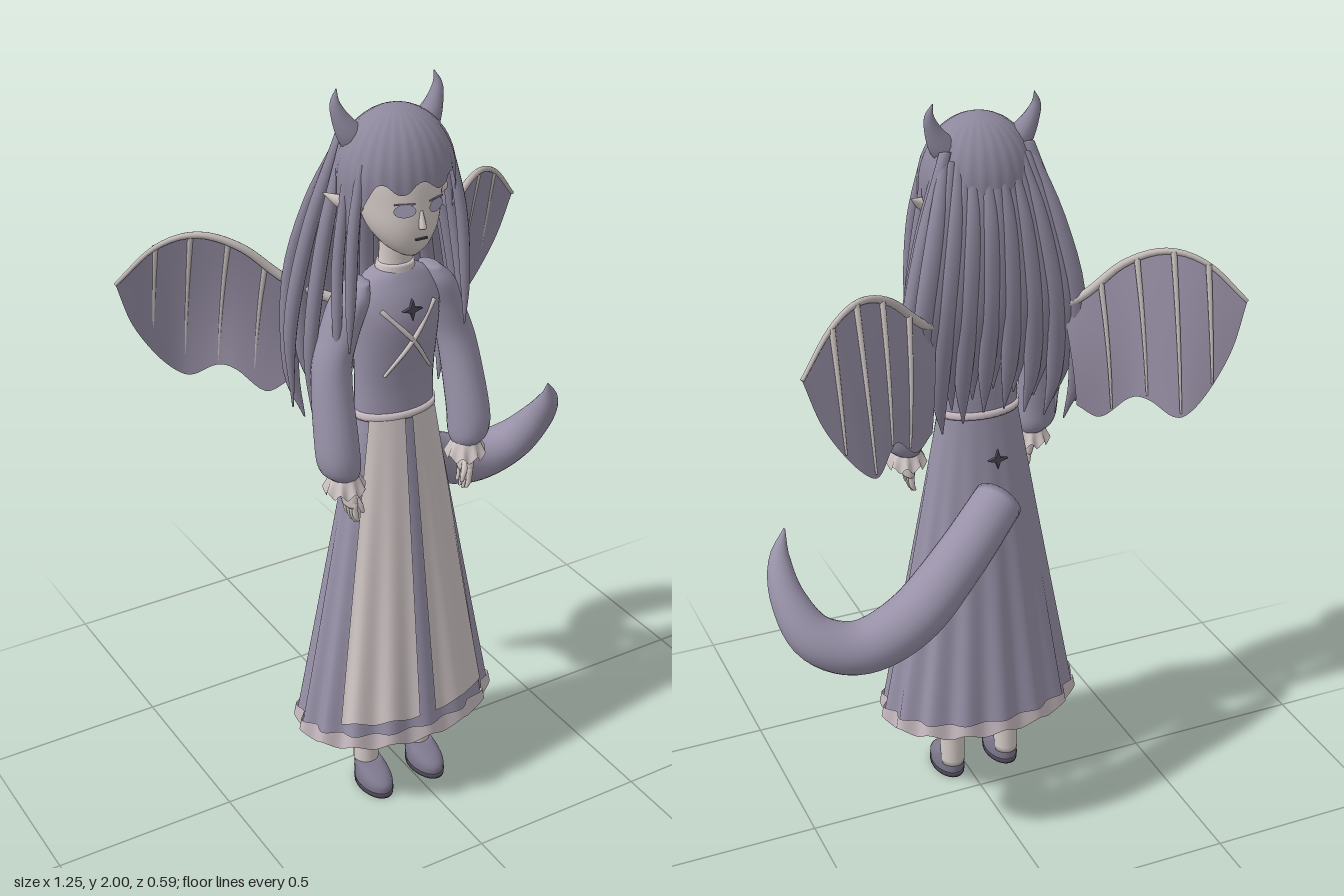
import * as THREE from 'three';
import { mergeVertices } from 'three/addons/utils/BufferGeometryUtils.js';

const mat = (name, color, side = THREE.FrontSide) => {
  const m = new THREE.MeshStandardMaterial({ color, side });
  m.name = name;
  return m;
};
const V = (p) => new THREE.Vector3(p[0], p[1], p[2]);
const curve = (pts) => new THREE.CatmullRomCurve3(pts.map(V), false, 'catmullrom', 0.5);

// Smooth surface from point(u, v); faces look along du x dv
function grid(point, nu, nv) {
  const pos = [], index = [];
  for (let j = 0; j <= nv; j++) for (let i = 0; i <= nu; i++) pos.push(...point(i / nu, j / nv));
  for (let j = 0; j < nv; j++) for (let i = 0; i < nu; i++) {
    const a = j * (nu + 1) + i, c = a + nu + 1;
    index.push(a, a + 1, c, a + 1, c + 1, c);
  }
  let g = new THREE.BufferGeometry();
  g.setAttribute('position', new THREE.Float32BufferAttribute(pos, 3));
  g.setIndex(index);
  g = mergeVertices(g, 1e-5);
  g.computeVertexNormals();
  return g;
}

// Row parameter with one extra collapsed row at each end as a cap
const capRow = (v, n) => {
  const k = Math.round(v * (n + 2));
  return [Math.min(Math.max((k - 1) / n, 0), 1), k === 0 || k === n + 2 ? 0 : 1];
};

// Horizontal elliptical rings [x, y, z, rx, rz], listed from bottom to top
function stack(rings, sides = 24, n = 20) {
  const mid = curve(rings), rad = curve(rings.map((r) => [r[3], r[4], 0]));
  return grid((u, v) => {
    const [t, k] = capRow(v, n), c = mid.getPoint(t), r = rad.getPoint(t), a = u * Math.PI * 2;
    return [c.x + k * Math.max(r.x, 0) * Math.sin(a), c.y, c.z + k * Math.max(r.y, 0) * Math.cos(a)];
  }, sides, n + 2);
}

// Round tapering sweep through points [x, y, z, radius]
function sweep(pts, sides = 10, n = 20) {
  const path = curve(pts), rad = curve(pts.map((p) => [p[3], 0, 0])), f = path.computeFrenetFrames(n);
  return grid((u, v) => {
    const [w, k] = capRow(v, n), i = Math.round(w * n), t = path.getUtoTmapping(w), a = u * Math.PI * 2;
    const r = k * Math.max(rad.getPoint(t).x, 0);
    return path.getPoint(t).addScaledVector(f.normals[i], r * Math.cos(a))
      .addScaledVector(f.binormals[i], r * Math.sin(a)).toArray();
  }, sides, n + 2);
}

export function createModel() {
  const D = THREE.DoubleSide;
  const M = {
    hair: mat('hair purple', 0x8d879c, D), dress: mat('dress purple', 0x9891a8, D),
    cream: mat('cream cloth', 0xd0c5c5, D), skin: mat('skin', 0xd6ccc8), trim: mat('pink trim', 0xc9bcc2, D),
    wing: mat('wing membrane', 0x978fa5, D), bone: mat('wing bone', 0xc4bcba),
    shoe: mat('shoe', 0x7f798e), dark: mat('dark detail', 0x4b4655), eye: mat('eye lilac', 0xaaa5bd, D),
  };
  const model = new THREE.Group(), body = new THREE.Group();
  body.name = 'figure';
  body.position.x = -0.035;
  model.add(body);
  const add = (name, geo, m, parent = body) => {
    const o = new THREE.Mesh(geo, m);
    o.name = name;
    parent.add(o);
    return o;
  };

  // Head, neck and torso
  add('head', stack([[0, 1.6, 0.165, 0.022, 0.025], [0, 1.625, 0.15, 0.057, 0.06], [0, 1.67, 0.132, 0.087, 0.09],
    [0, 1.73, 0.118, 0.102, 0.105], [0, 1.82, 0.105, 0.11, 0.11], [0, 1.9, 0.1, 0.07, 0.07]], 32), M.skin);
  add('neck', stack([[0, 1.5, 0.1, 0.05, 0.042], [0, 1.57, 0.105, 0.043, 0.036], [0, 1.66, 0.11, 0.043, 0.036]]), M.skin);
  add('collar', stack([[0, 1.535, 0.102, 0.053, 0.045], [0, 1.56, 0.104, 0.048, 0.041]], 24, 4), M.cream);
  add('bodice', stack([[0, 1.15, 0.1, 0.11, 0.068], [0, 1.25, 0.1, 0.108, 0.07], [0, 1.4, 0.108, 0.116, 0.08],
    [0, 1.47, 0.105, 0.117, 0.072], [0, 1.52, 0.1, 0.09, 0.056], [0, 1.545, 0.1, 0.05, 0.043]], 32), M.dress);
  add('belt', stack([[0, 1.152, 0.1, 0.115, 0.073], [0, 1.172, 0.1, 0.114, 0.072]], 32, 2), M.trim);

  // Pleated skirt in angular panels, with a wavy frill at the hem
  const skirtPoint = (a, y, out = 0) => {
    const v = (1.165 - y) / 0.915, k = 1 + 0.04 * v * Math.cos(16 * a);
    return [((0.108 + 0.165 * v) * k + out) * Math.sin(a), y, 0.1 + ((0.067 + 0.115 * v) * k + out) * Math.cos(a)];
  };
  const panel = (a0, a1, y0, y1, out, wave) => grid((u, v) => {
    const a = a0 + (a1 - a0) * u, low = y0 + wave * Math.cos(16 * a);
    return skirtPoint(a, low + (y1 - low) * v, out);
  }, Math.ceil((a1 - a0) * 30), 20);
  add('skirt', panel(-Math.PI, Math.PI, 0.25, 1.165, 0, 0.008), M.dress);
  add('hemFrill', panel(-Math.PI, Math.PI, 0.235, 0.275, 0.007, 0.01), M.trim);
  for (const s of [-1, 1]) {
    add('skirtFrontPanel', panel(s > 0 ? 0.09 : -1.0, s > 0 ? 1.0 : -0.09, 0.305, 1.155, 0.005, 0.008), M.cream);
  }

  // Chest lacing and star ornaments
  for (const s of [-1, 1]) {
    add('chestTie', sweep([[s * 0.075, 1.46, 0.166, 0.006], [0, 1.375, 0.191, 0.006], [-s * 0.066, 1.28, 0.163, 0.004]], 8, 12), M.cream);
  }
  const star = new THREE.Shape();
  for (let i = 0; i < 8; i++) {
    const r = i % 2 ? 0.009 : 0.028, a = i * Math.PI / 4;
    star[i ? 'lineTo' : 'moveTo'](r * Math.sin(a), r * Math.cos(a));
  }
  const starGeo = new THREE.ExtrudeGeometry(star, { depth: 0.009, bevelEnabled: false });
  add('starBrooch', starGeo, M.dark).position.set(0, 1.455, 0.181);
  const rearStar = add('rearStar', starGeo, M.dark);
  rearStar.position.set(-0.02, 1.035, 0.017);
  rearStar.rotation.y = Math.PI;

  // Hair cap with scalloped fringe
  add('hairCap', grid((u, v) => {
    const a = (u * 2 - 1) * Math.PI, f = THREE.MathUtils.smoothstep(Math.abs(a), 0.75, 1.5);
    const edge = (1.785 + 0.014 * Math.cos(9 * a)) * (1 - f) + 1.66 * f;
    const y = edge + (1.95 - edge) * Math.sin(v * Math.PI / 2), h = Math.max(0, (y - 1.78) / 0.17);
    const r = Math.sqrt(Math.max(0, 1 - h * h)) * (1 + 0.012 * Math.cos(26 * a));
    return [0.15 * r * Math.sin(a), y, 0.103 + 0.127 * r * Math.cos(a)];
  }, 104, 24), M.hair);

  // Long back hair
  for (let i = 0; i < 15; i++) {
    const s = (i - 7) / 7, e = Math.abs(s), end = 1.2 - 0.07 * e + (i % 2 ? 0.05 : 0), z = i % 2 ? 0.006 : 0;
    add('backHairStrand', stack([[s * 0.2, end, -0.005 + z, 0.002, 0.002], [s * 0.222, end + 0.13, -0.03 + z, 0.022, 0.013],
      [s * 0.205, 1.5, -0.048 + z, 0.026, 0.017], [s * 0.16, 1.7, -0.038 + z + 0.02 * e, 0.024, 0.017],
      [s * 0.115, 1.86, 0.005 + 0.03 * e, 0.012, 0.01]], 10, 16), M.hair);
  }

  // Parts that come in left and right pairs
  for (const s of [-1, 1]) {
    // Locks beside the face and over the shoulders
    const locks = [
      [[0.165, 1.37, 0.165, 0.002], [0.162, 1.5, 0.168, 0.013], [0.15, 1.68, 0.162, 0.015], [0.12, 1.84, 0.15, 0.01]],
      [[0.2, 1.12, 0.05, 0.002], [0.215, 1.35, 0.06, 0.017], [0.175, 1.62, 0.06, 0.02], [0.11, 1.87, 0.06, 0.015]],
      [[0.235, 1.17, 0.0, 0.002], [0.235, 1.4, 0.0, 0.018], [0.185, 1.65, 0.015, 0.02], [0.11, 1.88, 0.04, 0.015]],
      [[0.17, 1.25, 0.12, 0.002], [0.178, 1.42, 0.13, 0.012], [0.165, 1.6, 0.115, 0.015], [0.13, 1.83, 0.11, 0.012]],
    ];
    for (const l of locks) add('sideLock', stack(l.map(([x, y, z, r]) => [s * x, y, z, r, r]), 10, 16), M.hair);

    // Horns and pointed ears
    add('horn', sweep([[s * 0.08, 1.855, 0.078, 0.037], [s * 0.108, 1.89, 0.075, 0.032], [s * 0.13, 1.93, 0.07, 0.021],
      [s * 0.14, 1.965, 0.065, 0.012], [s * 0.133, 1.997, 0.06, 0.001]], 14), M.hair);
    add('ear', sweep([[s * 0.1, 1.715, 0.11, 0.02], [s * 0.145, 1.735, 0.1, 0.017], [s * 0.185, 1.76, 0.08, 0.001]], 10, 10), M.skin);

    // Eyes and brows
    const face = new THREE.Group();
    face.name = 'eyeGroup';
    face.position.set(s * 0.043, 1.73, 0.218);
    face.rotation.y = s * 0.4;
    body.add(face);
    add('eye', new THREE.CircleGeometry(0.027, 20), M.eye, face).scale.y = 0.62;
    add('lashLine', new THREE.BoxGeometry(0.05, 0.003, 0.004), M.hair, face).position.y = 0.017;

    // Sleeve, cuff frill and hand
    add('sleeve', stack([[s * 0.18, 1.03, 0.158, 0.035, 0.038], [s * 0.19, 1.06, 0.155, 0.053, 0.054], [s * 0.193, 1.13, 0.145, 0.056, 0.057],
      [s * 0.182, 1.3, 0.105, 0.05, 0.054], [s * 0.152, 1.4, 0.095, 0.047, 0.058], [s * 0.122, 1.48, 0.097, 0.045, 0.057],
      [s * 0.1, 1.525, 0.1, 0.022, 0.035]], 20, 30), M.dress);
    add('cuffFrill', grid((u, v) => {
      const a = u * Math.PI * 2, r = 0.036 + 0.016 * (1 - v) * (1 + 0.25 * Math.cos(9 * a));
      return [s * 0.18 + r * Math.sin(a), 0.995 + 0.045 * v + 0.01 * (1 - v) * Math.cos(9 * a), 0.16 + r * Math.cos(a)];
    }, 54, 5), M.cream);
    add('hand', stack([[s * 0.172, 0.955, 0.172, 0.016, 0.03], [s * 0.174, 0.985, 0.168, 0.019, 0.031], [s * 0.178, 1.04, 0.16, 0.019, 0.021]], 14, 8), M.skin);
    for (let i = 0; i < 4; i++) {
      const z = 0.15 + i * 0.015;
      add('finger', stack([[s * 0.162, 0.902 + Math.abs(i - 1.5) * 0.008, z, 0.005, 0.004], [s * 0.169, 0.93, z, 0.008, 0.007],
        [s * 0.172, 0.968, z, 0.009, 0.008]], 8, 6), M.skin);
    }
    add('thumb', stack([[s * 0.148, 0.935, 0.195, 0.005, 0.005], [s * 0.155, 0.96, 0.193, 0.008, 0.008], [s * 0.17, 0.995, 0.18, 0.009, 0.009]], 8, 6), M.skin);

    // Leg and shoe
    add('leg', stack([[s * 0.083, 0.04, 0.092, 0.034, 0.034], [s * 0.083, 0.2, 0.095, 0.037, 0.036], [s * 0.083, 0.5, 0.1, 0.045, 0.045]]), M.skin);
    add('shoe', stack([[s * 0.083, 0.01, 0.134, 0.043, 0.073], [s * 0.083, 0.035, 0.133, 0.044, 0.073],
      [s * 0.083, 0.055, 0.122, 0.041, 0.06], [s * 0.083, 0.072, 0.1, 0.036, 0.038]], 24, 12), M.shoe);
    add('sole', stack([[s * 0.083, 0, 0.134, 0.044, 0.075], [s * 0.083, 0.014, 0.134, 0.045, 0.076]], 24, 2), M.dark);

    // Bat wing: arched bone, scalloped membrane, ribs
    const bonePts = [[0.07, 1.42, 0.03], [0.205, 1.485, -0.055], [0.31, 1.58, -0.1], [0.405, 1.617, -0.15], [0.495, 1.585, -0.2], [0.585, 1.49, -0.247]];
    const lowPts = [[0.2, 1.2, -0.08], [0.255, 1.17, -0.11], [0.315, 1.23, -0.15], [0.35, 1.235, -0.19], [0.395, 1.2, -0.235],
      [0.43, 1.21, -0.255], [0.485, 1.27, -0.26], [0.545, 1.37, -0.257], [0.585, 1.49, -0.247]];
    const top = curve(bonePts), low = curve(lowPts);
    const wingPoint = (u, v) => {
      const p = top.getPoint(0.15 + 0.85 * u).lerp(low.getPoint(u), v);
      return [s * p.x, p.y, p.z - 0.012 * Math.sin(Math.PI * v) * (1 - u)];
    };
    const wing = new THREE.Group();
    wing.name = s > 0 ? 'leftWing' : 'rightWing';
    body.add(wing);
    add('membrane', grid(wingPoint, 40, 10), M.wing, wing);
    add('wingBone', sweep(bonePts.map(([x, y, z], i) => [s * x, y, z, 0.014 - i * 0.0018]), 10, 30), M.bone, wing);
    for (const u of [0.17, 0.36, 0.56, 0.76]) {
      const rib = [0, 0.33, 0.66, 0.97].map((v, i) => {
        const p = wingPoint(u, v);
        return [p[0], p[1], p[2] - 0.004, 0.008 - i * 0.0017];
      });
      add('wingRib', sweep(rib, 8, 10), M.bone, wing);
    }
  }

  // Nose and mouth
  add('nose', stack([[0, 1.682, 0.229, 0.009, 0.008], [0, 1.69, 0.228, 0.009, 0.009], [0, 1.725, 0.22, 0.004, 0.005]], 10, 6), M.skin);
  add('mouth', new THREE.BoxGeometry(0.032, 0.004, 0.006), M.dark).position.set(0, 1.655, 0.224);

  // Thick curling tail
  add('tail', sweep([[-0.03, 0.95, -0.05, 0.066], [0.13, 0.865, -0.16, 0.07], [0.28, 0.762, -0.215, 0.074], [0.42, 0.713, -0.22, 0.07],
    [0.53, 0.75, -0.19, 0.061], [0.577, 0.84, -0.13, 0.045], [0.578, 0.925, -0.075, 0.028], [0.552, 0.995, -0.045, 0.002]], 24, 48), M.dress, model);
  return model;
}
